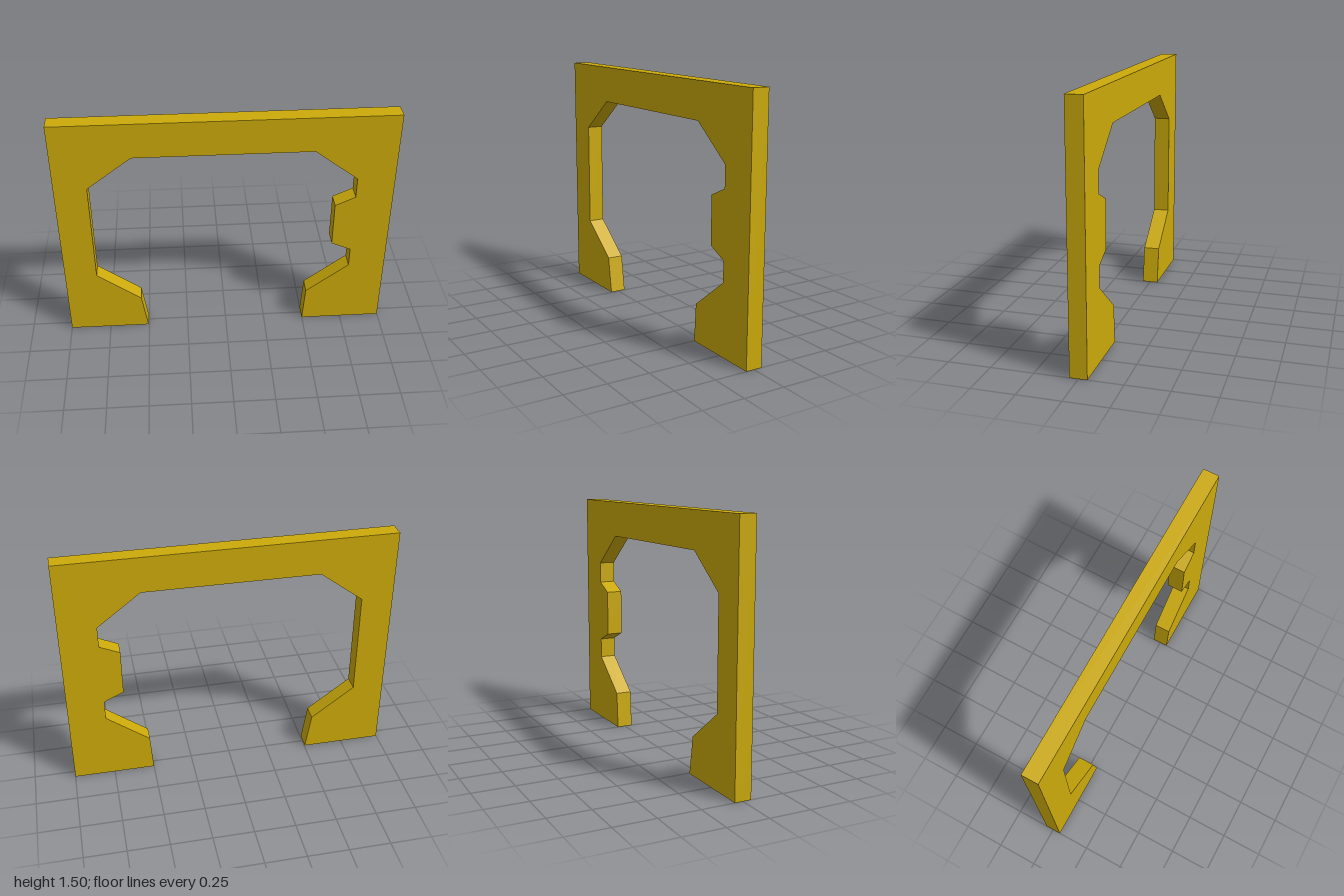
import * as THREE from 'three';

export function createModel() {
  const model = new THREE.Group();
  model.name = 'archFrame';
  const depth = 0.1;

  // Outline: outer rectangle, then the angular opening from right foot to left foot
  const outline = [
    [-1, 0], [-0.505, 0], [-0.54, 0.23], [-0.805, 0.43], [-0.805, 1.08],
    [-0.54, 1.28], [0.515, 1.28], [0.775, 1.08], [0.775, 0.95],
    [0.655, 0.895], [0.655, 0.61], [0.775, 0.555], [0.775, 0.43],
    [0.515, 0.23], [0.5, 0], [1, 0], [1, 1.5], [-1, 1.5],
  ];
  const shape = new THREE.Shape(outline.map(([x, y]) => new THREE.Vector2(x, y)));

  // Flat slab centred on z = 0
  const geometry = new THREE.ExtrudeGeometry(shape, { depth, bevelEnabled: false });
  geometry.translate(0, 0, -depth / 2);

  const frame = new THREE.Mesh(
    geometry,
    new THREE.MeshStandardMaterial({ color: 0xccaa0a, flatShading: true })
  );
  frame.name = 'frame';
  model.add(frame);
  return model;
}
